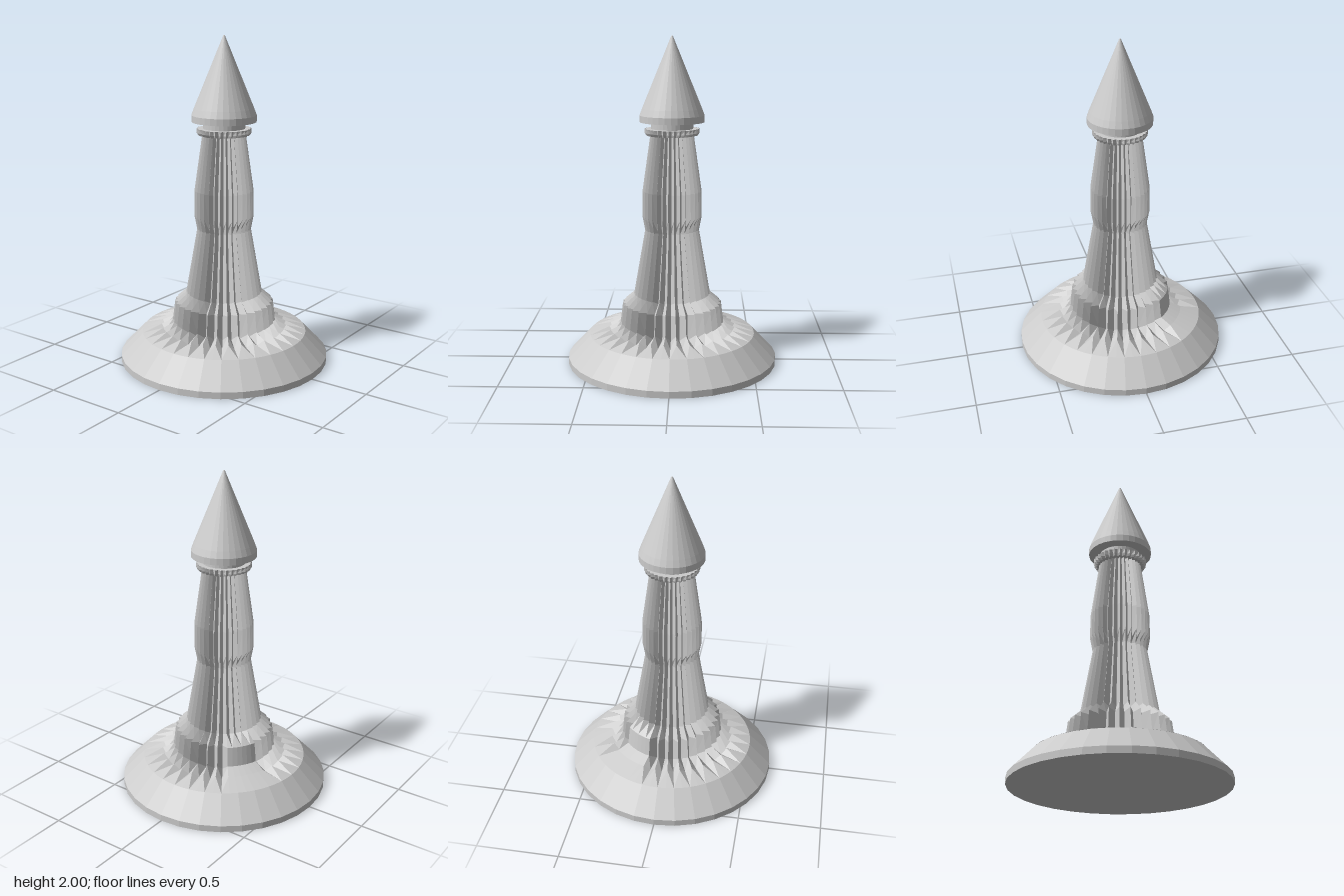
import * as THREE from 'three';

const SIDES = 32;
const STEPS = SIDES * 2;

function material(flat) {
  return new THREE.MeshStandardMaterial({ color: 0xcccccc, flatShading: flat, side: THREE.DoubleSide });
}

function lathe(name, profile, flat = true) {
  const points = profile.map(([r, y]) => new THREE.Vector2(r, y));
  const mesh = new THREE.Mesh(new THREE.LatheGeometry(points, SIDES), material(flat));
  mesh.name = name;
  return mesh;
}

// Pleated skin: ridges and valleys alternate around the axis, each with its own [radius, height] profile.
function pleated(name, ridge, valley, isFilled = () => false) {
  const positions = [], index = [];
  for (let j = 0; j < ridge.length; j++) {
    for (let i = 0; i < STEPS; i++) {
      const a = (i / STEPS) * Math.PI * 2;
      const [r, y] = i % 2 === 1 || isFilled(i, j) ? ridge[j] : valley[j];
      positions.push(r * Math.cos(a), y, -r * Math.sin(a));
    }
  }
  for (let j = 0; j < ridge.length - 1; j++) {
    for (let i = 0; i < STEPS; i++) {
      const n = (i + 1) % STEPS;
      const a = j * STEPS + i, b = j * STEPS + n;
      const c = a + STEPS, d = b + STEPS;
      // mirrored diagonals keep every pleat symmetric
      if (i % 2) index.push(a, b, c, b, d, c);
      else index.push(a, b, d, a, d, c);
    }
  }
  const geometry = new THREE.BufferGeometry();
  geometry.setAttribute('position', new THREE.Float32BufferAttribute(positions, 3));
  geometry.setIndex(index);
  geometry.computeVertexNormals();
  const mesh = new THREE.Mesh(geometry, material(true));
  mesh.name = name;
  return mesh;
}

export function createModel() {
  const model = new THREE.Group();
  model.name = 'fluted tower';

  // Bevelled foot
  model.add(lathe('base', [[0, 0], [0.645, 0], [0.645, 0.04], [0.51, 0.18], [0, 0.18]]));

  // Fluted column, with a plain ramp over three pleats at the back
  const ridge = [[0.51, 0.18], [0.39, 0.22], [0.32, 0.25], [0.305, 0.37], [0.235, 0.43],
    [0.165, 0.83], [0.182, 0.92], [0.18, 1.07], [0.13, 1.42]];
  const valley = [[0.51, 0.18], [0.37, 0.19], [0.265, 0.205], [0.255, 0.36], [0.2, 0.41],
    [0.14, 0.83], [0.155, 0.87], [0.155, 1.07], [0.11, 1.42]];
  model.add(pleated('column', ridge, valley, (i, j) => i > 23 && i < 29 && j < 4));

  // Toothed collar
  model.add(pleated('collar',
    [[0.11, 1.41], [0.155, 1.41], [0.165, 1.425], [0.165, 1.45], [0, 1.45]],
    [[0.11, 1.41], [0.14, 1.41], [0.148, 1.425], [0.155, 1.45], [0, 1.45]]));

  // Neck and pointed roof
  model.add(lathe('neck', [[0.127, 1.44], [0.127, 1.49]]));
  model.add(lathe('roof', [[0, 1.49], [0.195, 1.49], [0.195, 1.53], [0.18, 1.57], [0.005, 1.997], [0, 2]]));

  return model;
}
